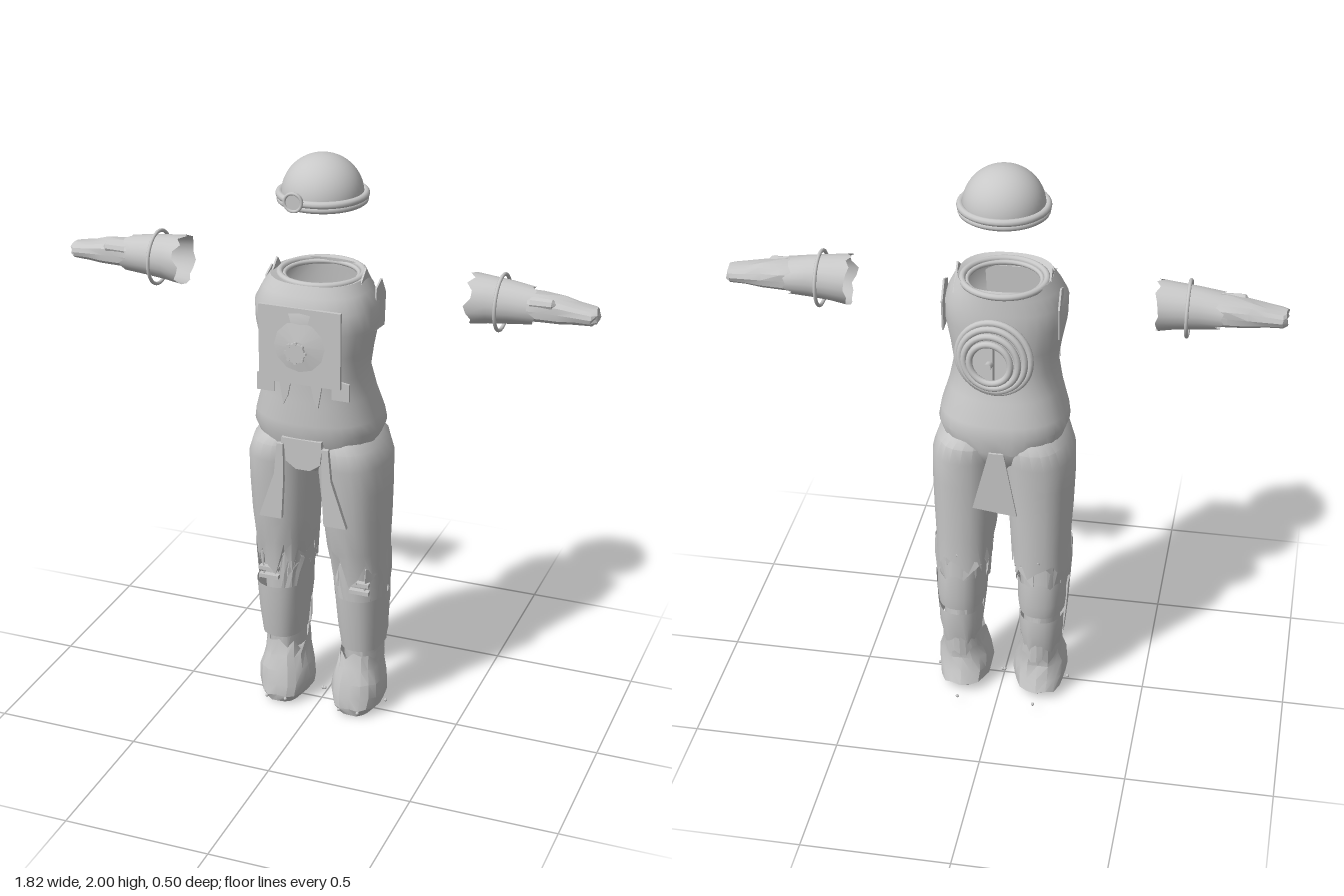
import * as THREE from 'three';
import { toCreasedNormals } from 'three/addons/utils/BufferGeometryUtils.js';

const grey = new THREE.MeshStandardMaterial({ color: 0xc8c8c8, side: THREE.DoubleSide });
grey.name = 'plain grey';

let seed = 7;
const rnd = () => (seed = (seed * 16807) % 2147483647) / 2147483647 - 0.5;
const bend = (v, p) => Math.sign(v) * Math.abs(v) ** p;

function add(parent, name, geometry, x = 0, y = 0, z = 0) {
  const mesh = new THREE.Mesh(geometry, grey);
  mesh.name = name;
  mesh.position.set(x, y, z);
  parent.add(mesh);
  return mesh;
}

// Skin over ascending sections [y, cx, cz, halfX, halfZ]; angle 0 is the front.
// jag tears the first and last ring, rough crumples the rings between.
function loft(sections, { n = 24, from = 0, to = Math.PI * 2, power = 1, jagLow = 0, jagHigh = 0, rough = 0, crease = 0.6 } = {}) {
  const pos = [], index = [], closed = to - from > 6.28;
  sections.forEach(([y, cx, cz, hx, hz], i) => {
    const jag = i === 0 ? jagLow : i === sections.length - 1 ? jagHigh : rough * 0.5;
    const ring = Array.from({ length: n + 1 }, () => [rnd() * jag, 1 + rnd() * rough * 4]);
    if (closed) ring[n] = ring[0];
    for (let j = 0; j <= n; j++) {
      const t = from + (to - from) * j / n, [dy, s] = ring[j];
      pos.push(cx + hx * s * bend(Math.sin(t), power), y + dy, cz + hz * s * bend(Math.cos(t), power));
      if (i && j) {
        const d = i * (n + 1) + j, c = d - 1, b = d - n - 1, a = b - 1;
        index.push(a, b, c, b, d, c);
      }
    }
  });
  const g = new THREE.BufferGeometry();
  g.setAttribute('position', new THREE.Float32BufferAttribute(pos, 3));
  g.setIndex(index);
  return toCreasedNormals(g, crease);
}

// Thin plate cut from an outline in x and y
function plate(points, depth = 0.008) {
  const shape = new THREE.Shape(points.map(p => new THREE.Vector2(...p)));
  return new THREE.ExtrudeGeometry(shape, { depth, bevelEnabled: false });
}
const torus = (r, t) => new THREE.TorusGeometry(r, t, 10, 40);
const disc = (r, h, n = 24, r2 = r) => new THREE.CylinderGeometry(r, r2, h, n).rotateX(Math.PI / 2);

function makeHelmet() {
  const g = new THREE.Group();
  g.name = 'helmet';
  const dome = Array.from({ length: 17 }, (_, i) => {
    const a = i / 16 * Math.PI / 2;
    return new THREE.Vector2(0.133 * Math.cos(a), 1.87 + 0.13 * Math.sin(a));
  });
  add(g, 'dome', new THREE.LatheGeometry(dome, 40));
  add(g, 'brim', torus(0.139, 0.012).rotateX(Math.PI / 2), 0, 1.872);
  add(g, 'brimLip', torus(0.137, 0.011).rotateX(Math.PI / 2), 0, 1.855);
  add(g, 'lamp', disc(0.031, 0.012), -0.04, 1.88, 0.152);
  add(g, 'lampRim', torus(0.029, 0.005), -0.04, 1.88, 0.158);
  g.position.z = -0.008;
  return g;
}

function makeTorso() {
  const g = new THREE.Group();
  g.name = 'torso';
  add(g, 'jacket', loft([
    [1.04, 0, 0, 0.195, 0.165], [1.1, 0, 0.005, 0.218, 0.182], [1.14, 0, 0.01, 0.212, 0.178],
    [1.22, 0, 0.022, 0.188, 0.165], [1.3, 0, 0.034, 0.172, 0.153], [1.38, 0, 0.036, 0.184, 0.157],
    [1.46, 0, 0.038, 0.2, 0.165], [1.53, 0, 0.04, 0.202, 0.164], [1.58, 0, 0.033, 0.178, 0.15],
    [1.615, 0, 0.025, 0.155, 0.14], [1.6, 0, 0, 0.125, 0.125],
  ], { n: 32, power: 0.85, jagLow: 0.025 }));
  add(g, 'neckRing', torus(0.137, 0.011).rotateX(Math.PI / 2), 0, 1.607, 0);
  add(g, 'innerNeckRing', torus(0.122, 0.008).rotateX(Math.PI / 2), 0, 1.6, 0);

  // Torn collar points and shoulder flaps
  for (const s of [-1, 1]) {
    const spike = add(g, 'collarPoint', plate([[-0.1, 1.55], [0.07, 1.57], [0.03, 1.605], [-0.005, 1.645], [-0.05, 1.61]], 0.006), s * 0.153, 0, 0.01);
    spike.rotation.y = Math.PI / 2;
    const flap = add(g, 'shoulderFlap', plate([[0.01, 1.44], [0.1, 1.43], [0.11, 1.54], [0.07, 1.6], [0.02, 1.58]], 0.006), s * 0.19, 0, 0.04);
    flap.rotation.y = Math.PI / 2;
    // Torn cloth below the chest panel
    add(g, 'tornFlap', plate([[s * 0.035, 1.29], [s * 0.075, 1.3], [s * 0.06, 1.21], [s * 0.045, 1.24]]), 0, 0, 0.185);
    add(g, 'sideTear', plate([[s * 0.1, 1.24], [s * 0.16, 1.24], [s * 0.16, 1.3], [s * 0.1, 1.31]]), 0, 0, 0.165);
  }

  // Chest panel with its shallow boss and valve
  add(g, 'chestPanel', new THREE.BoxGeometry(0.28, 0.26, 0.012), 0, 1.42, 0.196);
  add(g, 'panelBoss', disc(0.02, 0.012, 12, 0.1), 0, 1.42, 0.206);
  add(g, 'valveStem', disc(0.008, 0.04, 10), 0, 1.412, 0.222);
  add(g, 'valveWheel', disc(0.033, 0.008, 16), 0, 1.412, 0.238);
  for (let i = 0; i < 8; i++) {
    const a = i * Math.PI / 4;
    add(g, 'valveKnob', disc(0.006, 0.01, 8), 0.032 * Math.cos(a), 1.412 + 0.032 * Math.sin(a), 0.238);
  }

  // Round ringed unit on the back
  const pack = new THREE.Group();
  pack.name = 'backUnit';
  add(pack, 'backPlate', disc(0.115, 0.012, 32), 0, 0, 0.012);
  [[0.122, 0.02], [0.108, 0.002], [0.09, -0.015], [0.068, -0.026]].forEach(([r, z]) => add(pack, 'backRing', torus(r, 0.011), 0, 0, z));
  add(pack, 'backBar', new THREE.BoxGeometry(0.022, 0.13, 0.02), 0, 0, -0.018);
  add(pack, 'backStud', disc(0.012, 0.03, 12), 0, 0, -0.035);
  pack.position.set(0.005, 1.415, -0.205);
  pack.rotation.set(0.06, -0.12, 0);
  g.add(pack);
  return g;
}

function makeWaist() {
  const g = new THREE.Group();
  g.name = 'waist';
  add(g, 'hips', loft([
    [0.94, 0, 0, 0.05, 0.1], [0.98, 0, 0, 0.13, 0.14], [1.03, 0, 0, 0.185, 0.158], [1.1, 0, 0, 0.2, 0.165],
  ], { n: 28, power: 0.85 }));
  add(g, 'buckle', new THREE.BoxGeometry(0.14, 0.022, 0.02), 0, 1.078, 0.18);
  add(g, 'crotchPlate', plate([[-0.068, 1.07], [-0.06, 1.0], [-0.025, 0.975], [0.025, 0.975], [0.06, 1.0], [0.068, 1.07]]), 0, 0, 0.168);
  for (const s of [-1, 1])
    add(g, 'frontTasset', plate([[s * 0.068, 1.06], [s * 0.09, 1.06], [s * 0.1, 0.95], [s * 0.155, 0.785], [s * 0.075, 0.785], [s * 0.068, 0.92]], 0.016), 0, 0, 0.166);
  add(g, 'backFlap', plate([[-0.025, 1.04], [0.025, 1.04], [0.08, 0.82], [-0.07, 0.8]]), 0, 0, -0.168);
  return g;
}

function makeLeg() {
  const g = new THREE.Group();
  g.name = 'leg';
  add(g, 'thigh', loft([
    [0.57, 0.133, -0.022, 0.098, 0.118], [0.65, 0.13, -0.016, 0.102, 0.128], [0.75, 0.129, -0.008, 0.108, 0.142],
    [0.88, 0.126, -0.003, 0.115, 0.152], [0.98, 0.122, 0, 0.117, 0.165], [1.04, 0.112, 0, 0.107, 0.167], [1.07, 0.1, 0, 0.09, 0.15],
  ], { n: 24, power: 0.85, jagLow: 0.1 }));
  add(g, 'kneeLining', loft([
    [0.2, 0.14, -0.04, 0.062, 0.08], [0.3, 0.14, -0.035, 0.065, 0.085], [0.46, 0.138, -0.03, 0.075, 0.09], [0.66, 0.133, -0.02, 0.085, 0.1],
  ], { n: 16, rough: 0.02 }));

  // Torn shell around the knee
  add(g, 'innerKnee', loft([
    [0.45, 0.14, -0.02, 0.092, 0.105], [0.52, 0.138, -0.02, 0.094, 0.11], [0.6, 0.135, -0.02, 0.1, 0.115],
  ], { n: 12, from: -1.9, to: -0.2, jagLow: 0.02, jagHigh: 0.08, rough: 0.015, crease: 0.2 }));
  add(g, 'outerKnee', loft([
    [0.46, 0.14, -0.02, 0.092, 0.105], [0.55, 0.138, -0.02, 0.1, 0.112], [0.62, 0.135, -0.02, 0.102, 0.118],
  ], { n: 10, from: 1, to: 2.6, jagLow: 0.06, jagHigh: 0.06, rough: 0.02, crease: 0.2 }));
  for (const y of [0.5, 0.53]) add(g, 'kneeBar', new THREE.BoxGeometry(0.07, 0.014, 0.02), 0.165, y, 0.075);
  for (let i = 0; i < 9; i++) {
    const a = i * 0.7, scrap = add(g, 'tornScrap', plate([[-0.03, 0.03], [0.03, 0.035 + rnd() * 0.02], [rnd() * 0.04, -0.05]], 0.004),
      0.135 + 0.09 * Math.sin(a), 0.56 + rnd() * 0.08, -0.02 + 0.108 * Math.cos(a));
    scrap.rotation.set(rnd() * 0.5, a + rnd() * 0.6, rnd());
  }

  // Shin and calf guards
  add(g, 'shinGuard', loft([
    [0.26, 0.146, -0.035, 0.073, 0.105], [0.36, 0.145, -0.03, 0.083, 0.118], [0.47, 0.144, -0.025, 0.09, 0.125],
  ], { n: 16, from: -1.75, to: 1.75, power: 0.85 }));
  add(g, 'upperCalfGuard', loft([
    [0.37, 0.142, -0.035, 0.08, 0.112], [0.42, 0.142, -0.035, 0.085, 0.12], [0.5, 0.14, -0.035, 0.084, 0.118],
  ], { n: 12, from: 1.7, to: 4.6, power: 0.85, jagHigh: 0.03 }));
  add(g, 'lowerCalfGuard', loft([
    [0.22, 0.142, -0.045, 0.066, 0.09], [0.29, 0.142, -0.04, 0.078, 0.107], [0.35, 0.142, -0.038, 0.078, 0.11],
  ], { n: 12, from: 1.75, to: 4.5, power: 0.85, jagLow: 0.04 }));

  // Crumpled boot with a closed sole
  add(g, 'boot', loft([
    [0.004, 0.135, -0.015, 0, 0], [0.008, 0.135, -0.01, 0.06, 0.095], [0.035, 0.135, -0.02, 0.085, 0.12],
    [0.08, 0.135, -0.017, 0.094, 0.108], [0.13, 0.136, -0.012, 0.09, 0.095], [0.18, 0.138, -0.025, 0.075, 0.092],
    [0.22, 0.138, -0.035, 0.072, 0.095],
  ], { n: 18, power: 0.85, jagHigh: 0.06, rough: 0.02, crease: 0.4 }));
  add(g, 'ankleCuff', loft([
    [0.18, 0.138, -0.035, 0.075, 0.1], [0.25, 0.14, -0.04, 0.07, 0.098],
  ], { n: 14, from: 0.6, to: 4.6, jagLow: 0.05, jagHigh: 0.03, crease: 0.3 }));

  // Small studs round the sole
  for (const [x, z] of [[0.232, -0.02], [0.004, -0.02], [0.17, 0.1], [0.1, 0.1], [0.135, -0.2]])
    add(g, 'soleStud', new THREE.SphereGeometry(0.006, 8, 6), x, 0.033, z);
  return g;
}

function makeGlove() {
  const g = new THREE.Group();
  g.name = 'glove';
  // Section heights run along the arm before the skin is laid sideways
  const sideways = (sections, options) => loft(sections, options).rotateZ(-Math.PI / 2);
  add(g, 'cuff', sideways([
    [0.505, -1.573, -0.033, 0.083, 0.083], [0.56, -1.575, -0.033, 0.076, 0.075],
    [0.63, -1.575, -0.034, 0.069, 0.068], [0.7, -1.572, -0.035, 0.06, 0.064],
  ], { n: 20, jagLow: 0.025, jagHigh: 0.04 }));
  add(g, 'hand', sideways([
    [0.66, -1.57, -0.035, 0.05, 0.055], [0.72, -1.573, -0.035, 0.046, 0.06], [0.79, -1.571, -0.033, 0.042, 0.055],
    [0.84, -1.568, -0.033, 0.033, 0.05], [0.895, -1.565, -0.033, 0.027, 0.046], [0.908, -1.567, -0.033, 0.024, 0.032], [0.906, -1.567, -0.033, 0, 0],
  ], { n: 14, power: 0.85, rough: 0.02, crease: 0.3 }));
  add(g, 'thumb', sideways([
    [0.7, -1.595, 0.0, 0.02, 0.022], [0.77, -1.597, 0.005, 0.018, 0.018], [0.785, -1.597, 0.005, 0, 0],
  ], { n: 8, crease: 0.3 }));
  add(g, 'wristRing', torus(0.09, 0.006).rotateY(Math.PI / 2), 0.597, 1.57, -0.035);
  return g;
}

export function createModel() {
  const model = new THREE.Group();
  model.name = 'emptySuit';
  model.add(makeHelmet(), makeTorso(), makeWaist());
  for (const make of [makeLeg, makeGlove]) {
    for (const side of [1, -1]) {
      seed = 11;
      const part = make();
      part.name = (side > 0 ? 'left ' : 'right ') + part.name;
      part.scale.x = side;
      model.add(part);
    }
  }
  return model;
}
